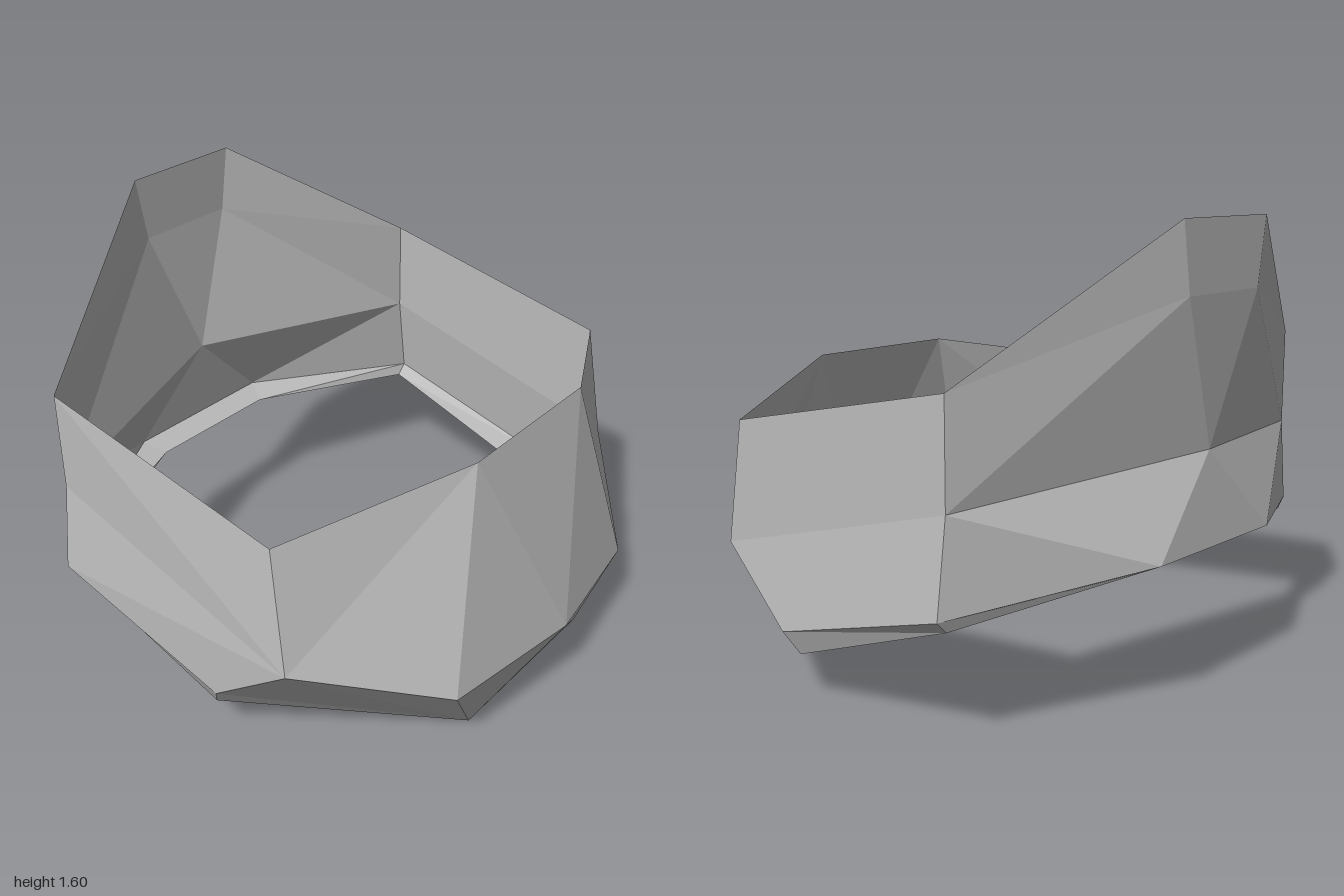
import * as THREE from 'three';

// Corner points of one half of the band; s = +1 or -1 mirrors across x
function halfPoints(s) {
  const v = (x, y, z) => new THREE.Vector3(s * x, y, z);
  return {
    // top rim, front to back
    frontTop: v(0.32, 1.04, 0.70), sideTop: v(0.96, 0.92, 0.38),
    backTop: v(0.96, 1.12, -0.58), crest: v(0.24, 1.60, -0.90),
    // widest line (the halves differ slightly at the front)
    centre: v(0, 0.28, 0.90), brow: v(s > 0 ? 0.52 : 0.56, 0.28, 0.82),
    cheek: v(s > 0 ? 0.96 : 1.0, 0.48, 0.46), backMid: v(0.96, 0.76, -0.58),
    crestLow: v(0.20, 1.36, -0.90), dent: v(0, 0.84, -0.86),
    // lower outer edge
    sideLow: v(1.0, 0.24, 0.14), backLow: v(1.0, 0.44, -0.58), tail: v(0.32, 0.52, -0.90),
    // bottom rim
    chin: v(0.36, 0, 0.74), sideRim: v(0.96, 0.16, 0.10),
    backRim: v(0.96, 0.40, -0.58), tailRim: v(0.28, 0.48, -0.82),
  };
}

// Flat facets from polygons (fanned from the first corner), turned to face outward
function facets(name, polygons, material) {
  const middle = new THREE.Vector3(0, 0.65, 0);
  const positions = [];
  for (const poly of polygons) {
    for (let i = 1; i < poly.length - 1; i++) {
      const [a, b, c] = [poly[0], poly[i], poly[i + 1]];
      const tri = new THREE.Triangle(a, b, c);
      const normal = tri.getNormal(new THREE.Vector3());
      const out = tri.getMidpoint(new THREE.Vector3()).sub(middle);
      for (const p of normal.dot(out) < 0 ? [a, c, b] : [a, b, c]) positions.push(p.x, p.y, p.z);
    }
  }
  const geometry = new THREE.BufferGeometry();
  geometry.setAttribute('position', new THREE.Float32BufferAttribute(positions, 3));
  geometry.computeVertexNormals();
  const mesh = new THREE.Mesh(geometry, material);
  mesh.name = name;
  return mesh;
}

export function createModel() {
  const group = new THREE.Group();
  group.name = 'facetedBand';
  const grey = new THREE.MeshStandardMaterial({ color: 0xbcbcbc, side: THREE.DoubleSide, flatShading: true });
  grey.name = 'grey';

  const L = halfPoints(1);
  const R = halfPoints(-1);

  // Facets spanning the middle
  const front = [[L.frontTop, R.frontTop, L.centre]];
  const chin = [[L.centre, R.chin, L.chin]];
  const back = [
    [L.crest, R.crest, R.crestLow, L.crestLow],
    [L.crestLow, R.crestLow, L.dent],
    [L.dent, R.tail, L.tail],
  ];
  const rim = [[L.tail, R.tail, R.tailRim, L.tailRim]];

  for (const [side, p] of [['left', L], ['right', R]]) {
    front.push(
      [p.frontTop, p.centre, p.brow],
      [p.frontTop, p.brow, p.cheek],
      [p.frontTop, p.cheek, p.sideTop]);
    chin.push(
      [p.centre, p.chin, p.brow],
      [p.chin, p.brow, p.cheek, p.sideLow, p.sideRim]);
    back.push(
      [p.backTop, p.crest, p.crestLow],
      [p.backTop, p.crestLow, p.backMid],
      [p.crestLow, p.dent, p.backMid],
      [p.backMid, p.dent, p.tail],
      [p.backMid, p.tail, p.backLow]);
    rim.push(
      [p.backLow, p.tail, p.tailRim, p.backRim],
      [p.sideLow, p.backLow, p.backRim, p.sideRim]);
    group.add(facets(side + 'SidePanel', [
      [p.cheek, p.sideTop, p.backTop, p.backMid],
      [p.cheek, p.backMid, p.backLow, p.sideLow],
    ], grey));
  }

  group.add(
    facets('frontPanel', front, grey),
    facets('chinPanel', chin, grey),
    facets('backPanel', back, grey),
    facets('lowerRim', rim, grey));
  return group;
}
